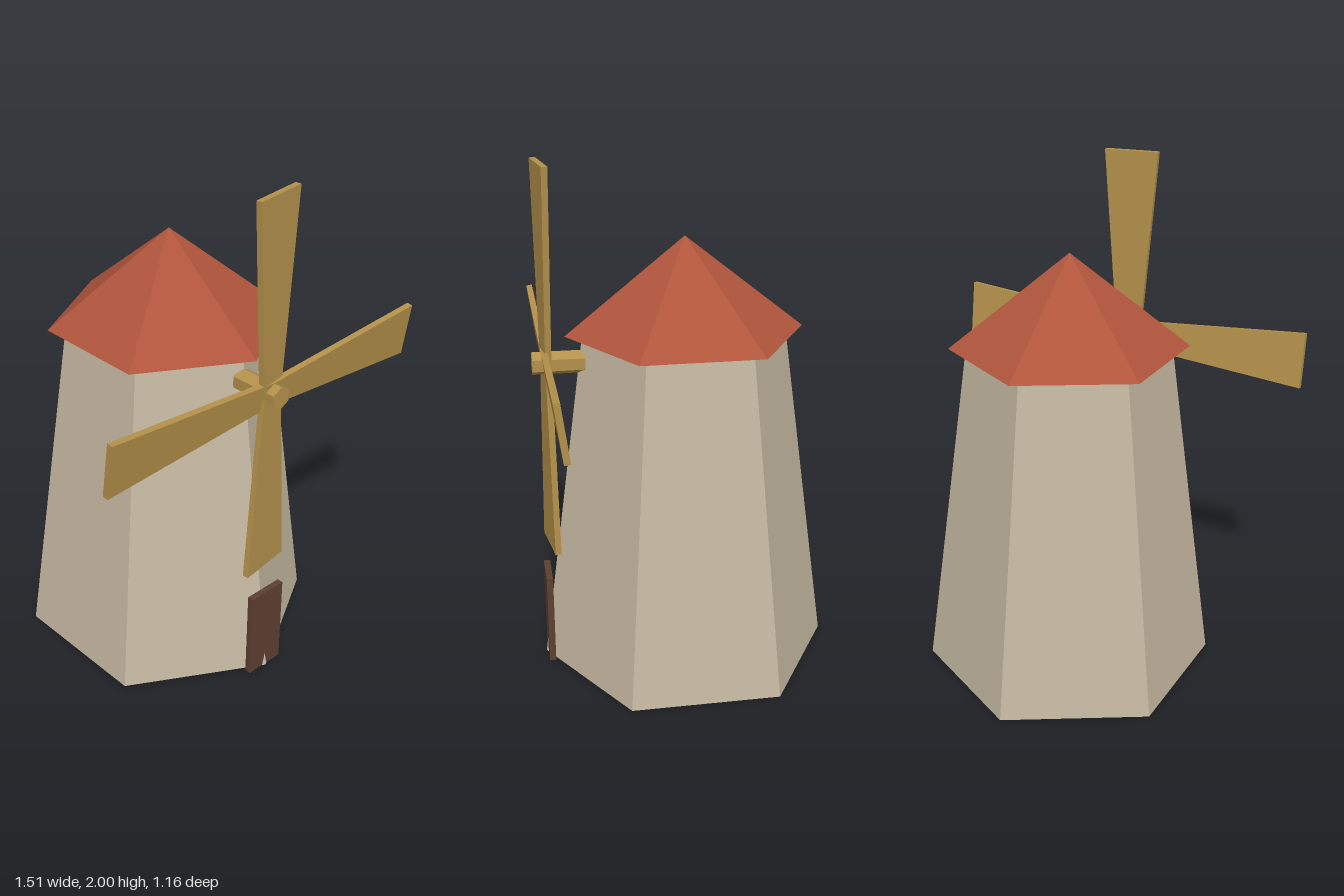
import * as THREE from 'three';

const material = (name, color) => {
  const m = new THREE.MeshStandardMaterial({ color });
  m.name = name;
  return m;
};

// Turns a six-sided solid into one with hard, flat facets
const faceted = (geometry) => {
  const g = geometry.toNonIndexed();
  g.computeVertexNormals();
  return g;
};

export function createModel() {
  const model = new THREE.Group();
  model.name = 'windmill';

  const stone = material('stone', 0xc6b9a2);
  const tile = material('roof tile', 0xb1553c);
  const wood = material('wood', 0xb3904a);
  const darkWood = material('dark wood', 0x5c4030);

  const add = (name, geometry, mat, x, y, z) => {
    const mesh = new THREE.Mesh(geometry, mat);
    mesh.name = name;
    mesh.position.set(x, y, z);
    model.add(mesh);
    return mesh;
  };

  // Tapered hexagonal tower and its pointed roof
  const towerHeight = 1.343, roofHeight = 0.37, centreZ = -0.005;
  add('tower', faceted(new THREE.CylinderGeometry(0.395, 0.577, towerHeight, 6)),
    stone, 0, towerHeight / 2, centreZ);
  add('roof', faceted(new THREE.ConeGeometry(0.462, roofHeight, 6)),
    tile, 0, towerHeight + roofHeight / 2, centreZ);

  // Door, with the tower corner just breaking through at its foot
  add('door', new THREE.BoxGeometry(0.166, 0.37, 0.025), darkWood, 0, 0.185, 0.552);

  // Axle along z
  const axleY = 1.243;
  add('axle', faceted(new THREE.CylinderGeometry(0.045, 0.045, 0.2, 6).rotateX(Math.PI / 2)),
    wood, 0, axleY, 0.483);

  // Two crossed sails, each a pair of blades widening outwards, pitched about its length
  const length = 0.757, tip = 0.11, waist = 0.05, thickness = 0.024;
  const outline = new THREE.Shape([
    [-tip, -length], [tip, -length], [waist, 0], [tip, length], [-tip, length], [-waist, 0],
  ].map(([x, y]) => new THREE.Vector2(x, y)));
  const sail = new THREE.ExtrudeGeometry(outline, { depth: thickness, bevelEnabled: false })
    .translate(0, 0, -thickness / 2)
    .rotateY(0.135);
  add('verticalSail', sail, wood, 0, axleY, 0.53);
  add('horizontalSail', sail, wood, 0, axleY, 0.53).rotation.z = -Math.PI / 2;

  return model;
}
